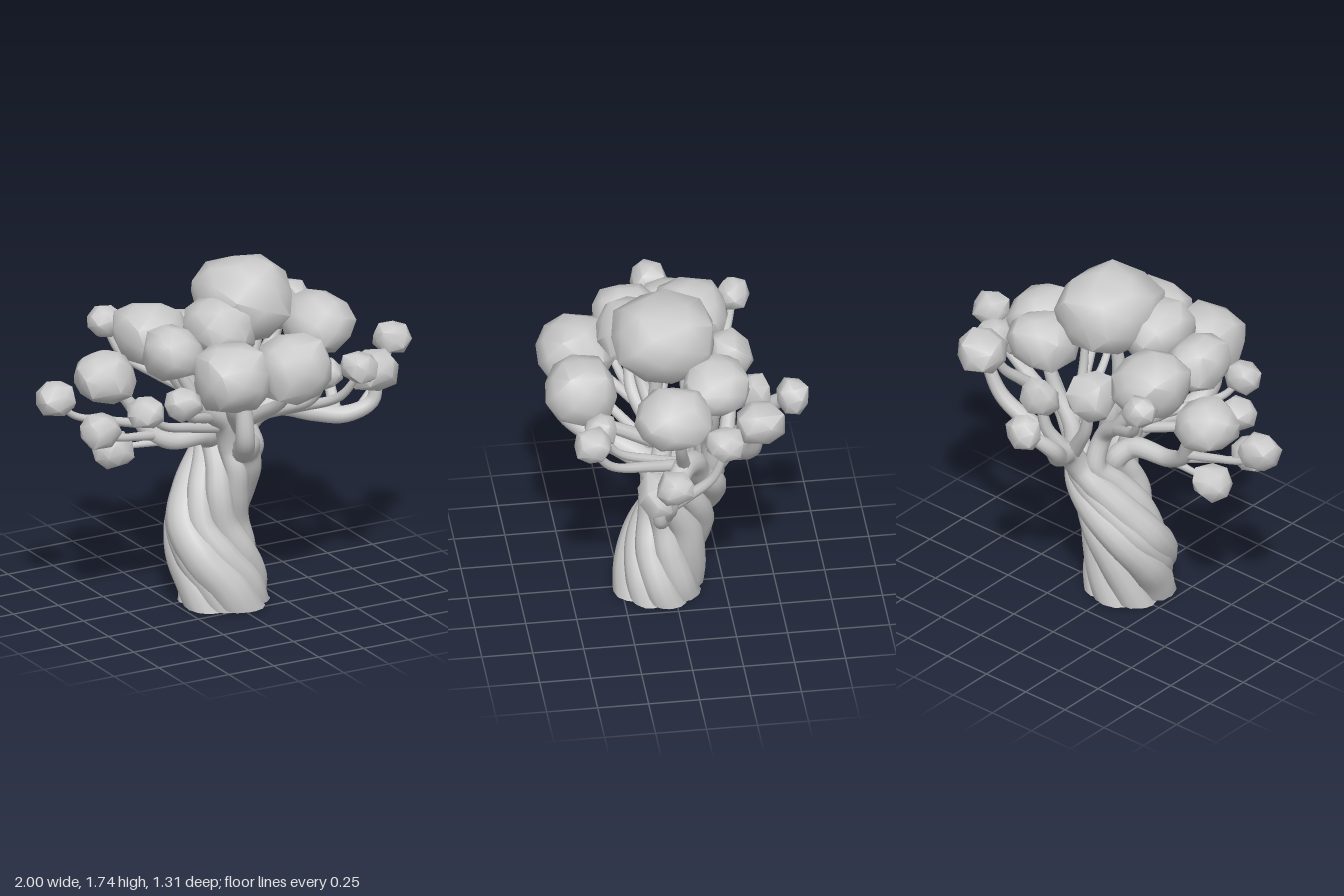
import * as THREE from 'three';
import { toCreasedNormals } from 'three/addons/utils/BufferGeometryUtils.js';
import { ConvexGeometry } from 'three/addons/geometries/ConvexGeometry.js';

const material = new THREE.MeshStandardMaterial({ color: 0xcccccc });
const V = (p) => new THREE.Vector3(...p);

let seed = 11;
function rand() {
  seed = (seed * 16807) % 2147483647;
  return seed / 2147483647;
}

function addMesh(parent, geometry, name) {
  const mesh = new THREE.Mesh(geometry, material);
  mesh.name = name;
  parent.add(mesh);
  return mesh;
}

// Tapered tube with closed ends, cut flat at the ground
function taperedTube(points, r0, r1, segments, sides = 10) {
  const curve = new THREE.CatmullRomCurve3(points, false, 'centripetal');
  const geometry = new THREE.TubeGeometry(curve, segments, 1, sides, false);
  const pos = geometry.attributes.position;
  const v = new THREE.Vector3();
  for (let i = 0; i <= segments; i++) {
    const t = i / segments;
    const centre = curve.getPointAt(t);
    const r = i === 0 || i === segments ? 0 : THREE.MathUtils.lerp(r0, r1, t ** 1.25);
    for (let j = 0; j <= sides; j++) {
      const k = i * (sides + 1) + j;
      v.fromBufferAttribute(pos, k).sub(centre).multiplyScalar(r).add(centre);
      pos.setXYZ(k, v.x, Math.max(0, v.y), v.z);
    }
  }
  return geometry;
}

// Centre line of the trunk: x, y, z, then the strand ring's radius along x and z
const spine = [
  [0, -0.08, 0.06, 0.15, 0.125], [-0.01, 0.1, 0.05, 0.15, 0.125], [-0.04, 0.25, 0.02, 0.15, 0.125],
  [-0.045, 0.4, -0.03, 0.14, 0.125], [0.005, 0.55, -0.045, 0.12, 0.14], [0.06, 0.68, -0.045, 0.1, 0.15],
  [0.085, 0.78, -0.04, 0.095, 0.165],
];

// Each limb leaves the trunk at an angle (degrees from the front towards +x)
const limbs = [
  { angle: 0, r: [0.095, 0.04], path: [[0.03, 0.85, 0.24], [-0.09, 0.89, 0.41], [-0.14, 0.99, 0.52], [-0.15, 1.2, 0.52]] },
  { angle: 112, r: [0.1, 0.03], path: [[0.25, 0.88, -0.07], [0.35, 0.92, -0.01], [0.5, 0.88, 0.06], [0.64, 0.86, 0.12], [0.77, 0.92, 0.16], [0.79, 1.06, 0.16]] },
  { angle: 180, r: [0.115, 0.03], path: [[0.1, 0.88, -0.27], [0.06, 0.93, -0.39], [0.03, 1.02, -0.47], [0.11, 1.14, -0.58]] },
  { angle: -90, r: [0.085, 0.025], path: [[-0.08, 0.85, 0.01], [-0.28, 0.86, 0.03], [-0.4, 0.93, 0], [-0.47, 1.06, -0.03], [-0.58, 1.2, -0.05]] },
  { angle: -45, r: [0.085, 0.022], path: [[-0.03, 0.92, 0.1], [-0.18, 1.05, 0.17], [-0.33, 1.3, 0.16]] },
  { angle: -135, r: [0.085, 0.022], path: [[0, 0.95, -0.12], [-0.13, 1.08, -0.16], [-0.31, 1.36, -0.14]] },
  { angle: 45, r: [0.085, 0.025], path: [[0.1, 0.95, 0.05], [0.08, 1.15, 0.09], [0.1, 1.42, 0.07]] },
  { angle: 150, r: [0.085, 0.025], path: [[0.17, 0.95, -0.16], [0.27, 1.12, -0.16], [0.34, 1.35, -0.18]] },
];

// Twigs: start, end inside a leaf clump, radius
const twigs = [
  [[0.09, 0.9, 0.06], [0.15, 1.27, 0.47], 0.04],
  [[0.07, 0.86, 0.1], [-0.17, 1.25, 0.4], 0.03],
  [[0.32, 0.9, -0.02], [0.52, 1.32, 0.03], 0.035],
  [[0.6, 0.87, 0.1], [0.67, 1.24, -0.17], 0.032],
  [[0.72, 0.89, 0.14], [0.9, 1.18, 0.1], 0.028],
  [[0.26, 0.88, -0.05], [0.53, 1.2, 0.46], 0.032],
  [[0.24, 0.87, -0.05], [0.38, 1.19, 0.4], 0.028],
  [[0.09, 0.88, -0.28], [0.18, 1.18, -0.38], 0.042],
  [[0.1, 0.84, -0.24], [0.56, 1.3, -0.36], 0.052],
  [[0.1, 0.86, -0.25], [-0.06, 1.25, -0.3], 0.042],
  [[-0.27, 0.86, 0.03], [-0.57, 0.87, 0], 0.022],
  [[-0.36, 0.9, 0.02], [-0.71, 1.02, 0.13], 0.025],
  [[-0.42, 0.96, -0.01], [-0.9, 1.17, 0], 0.025],
  [[-0.05, 0.91, 0.1], [-0.53, 1.12, 0.25], 0.03],
  [[-0.1, 0.98, 0.13], [-0.43, 1.2, 0.41], 0.028],
  [[-0.08, 1.03, -0.14], [-0.43, 1.36, -0.36], 0.03],
  [[0.1, 0.95, 0.06], [-0.09, 1.42, 0.17], 0.04],
  [[0.17, 0.95, -0.15], [0.2, 1.45, -0.02], 0.03],
];

// Leaf clumps: x, y, z, half width, half height, half depth
const clumps = [
  [0.11, 1.54, 0.06, 0.24, 0.2, 0.25], [-0.09, 1.46, 0.17, 0.17, 0.15, 0.19],
  [-0.17, 1.3, 0.45, 0.18, 0.16, 0.19], [0.16, 1.3, 0.47, 0.18, 0.16, 0.18],
  [-0.35, 1.38, 0.17, 0.14, 0.13, 0.17], [-0.31, 1.38, -0.13, 0.18, 0.15, 0.19],
  [0.52, 1.34, 0.06, 0.17, 0.15, 0.19], [0.34, 1.39, -0.17, 0.18, 0.13, 0.16],
  [-0.6, 1.22, -0.05, 0.15, 0.13, 0.15], [0.57, 1.32, -0.36, 0.12, 0.095, 0.12],
  [-0.06, 1.27, -0.29, 0.12, 0.12, 0.12], [0.78, 1.08, 0.16, 0.12, 0.1, 0.11],
  [0.67, 1.27, -0.17, 0.09, 0.08, 0.09], [0.905, 1.2, 0.11, 0.09, 0.08, 0.09],
  [0.53, 1.23, 0.46, 0.09, 0.075, 0.09], [0.38, 1.21, 0.4, 0.08, 0.075, 0.08],
  [0.12, 1.14, -0.58, 0.09, 0.09, 0.08], [0.18, 1.22, -0.38, 0.1, 0.09, 0.08],
  [-0.43, 1.38, -0.36, 0.09, 0.08, 0.08], [-0.9, 1.17, -0.01, 0.1, 0.09, 0.09],
  [-0.73, 1.02, 0.13, 0.1, 0.09, 0.09], [-0.54, 1.12, 0.25, 0.09, 0.08, 0.09],
  [-0.43, 1.2, 0.42, 0.09, 0.08, 0.08], [-0.585, 0.86, 0, 0.1, 0.09, 0.09],
];

// Irregular, slightly boxy ball filling a unit cube: hull of jittered points on a spiral
function clumpGeometry(count) {
  const turn = rand() * 6.28;
  const points = [];
  for (let i = 0; i < count; i++) {
    const y = 1 - (2 * i + 1) / count;
    const r = Math.sqrt(1 - y * y);
    const a = i * 2.39996 + turn;
    const p = new THREE.Vector3(r * Math.cos(a), y, r * Math.sin(a));
    const norm = (Math.abs(p.x) ** 2.5 + Math.abs(p.y) ** 2.5 + Math.abs(p.z) ** 2.5) ** 0.4;
    points.push(p.multiplyScalar((0.92 + rand() * 0.16) / norm));
  }
  const geometry = new ConvexGeometry(points);
  geometry.center();
  const { max } = geometry.boundingBox;
  return geometry.scale(1 / max.x, 1 / max.y, 1 / max.z);
}

export function createModel() {
  const tree = new THREE.Group();
  tree.name = 'tree';
  const trunk = new THREE.Group();
  trunk.name = 'trunk';
  const branches = new THREE.Group();
  branches.name = 'branches';
  const foliage = new THREE.Group();
  foliage.name = 'foliage';
  tree.add(trunk, branches, foliage);

  // Solid core behind the strands
  const core = spine.slice(0, -1).map(([x, y, z]) => new THREE.Vector3(x, y, z));
  addMesh(trunk, taperedTube(core, 0.14, 0.08, 30, 16), 'trunkCore');

  // Twisted strands that run on into the main limbs
  const twist = 3.5;
  for (const limb of limbs) {
    const points = spine.map(([x, y, z, rx, rz], i) => {
      const a = THREE.MathUtils.degToRad(limb.angle) + twist * (1 - i / (spine.length - 1));
      return new THREE.Vector3(x + rx * Math.sin(a), y, z + rz * Math.cos(a));
    });
    points.push(...limb.path.map(V));
    addMesh(trunk, taperedTube(points, limb.r[0], limb.r[1], 80, 12), 'strandLimb');
  }

  // Twigs swing outwards first, then curl up into their clump
  for (const [from, to, r] of twigs) {
    const a = V(from), b = V(to);
    const rise = b.y - a.y;
    const p = a.clone().lerp(b, 0.4), q = a.clone().lerp(b, 0.8);
    p.y = a.y + rise * 0.25;
    q.y = a.y + rise * 0.55;
    addMesh(branches, taperedTube([a, p, q, b], r, r * 0.55, 24, 8), 'twig');
  }

  // Leaf clumps
  for (const [x, y, z, w, h, d] of clumps) {
    const geometry = clumpGeometry(w > 0.13 ? 40 : 22).scale(w, h, d);
    addMesh(foliage, toCreasedNormals(geometry, 0.95), 'leafClump').position.set(x, y, z);
  }
  return tree;
}
